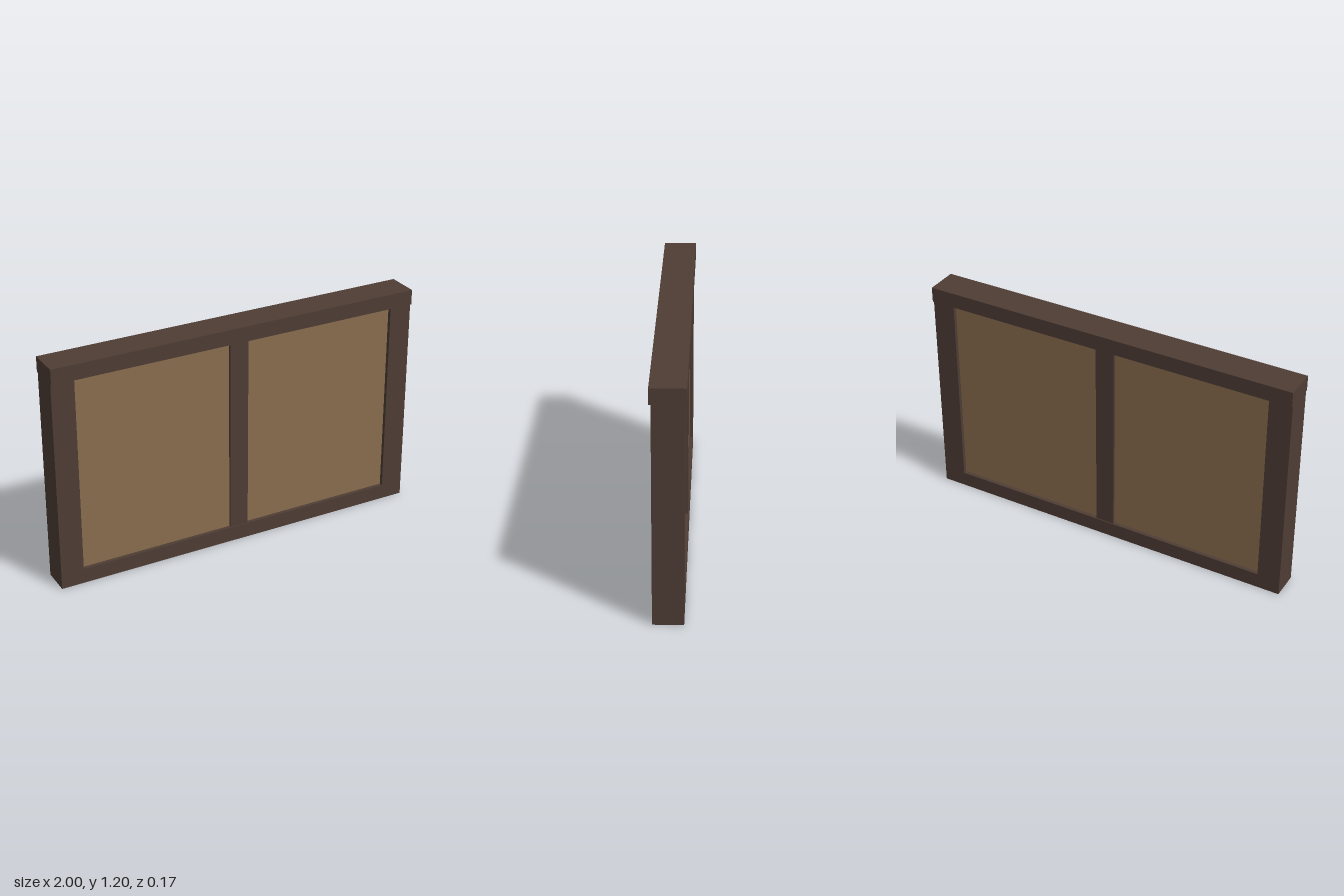
import * as THREE from 'three';

export function createModel() {
  const frame = new THREE.MeshStandardMaterial({ color: 0x4e3d35 });
  frame.name = 'dark brown frame';
  const infill = new THREE.MeshStandardMaterial({ color: 0x8a6e4f });
  infill.name = 'tan panel';

  const model = new THREE.Group();
  model.name = 'framedPanel';

  // Box given by its full size and centre, always centred on z = 0
  function box(name, material, width, height, depth, x, y) {
    const mesh = new THREE.Mesh(new THREE.BoxGeometry(width, height, depth), material);
    mesh.name = name;
    mesh.position.set(x, y, 0);
    model.add(mesh);
  }

  // Overhanging cap and bottom rail
  box('topRail', frame, 2, 0.08, 0.17, 0, 1.16);
  box('bottomRail', frame, 1.76, 0.08, 0.15, 0, 0.04);

  // Side posts and recessed panels, mirrored
  for (const [side, s] of [['left', 1], ['right', -1]]) {
    box(side + 'Post', frame, 0.12, 1.12, 0.15, s * 0.94, 0.56);
    box(side + 'Panel', infill, 0.83, 1.04, 0.11, s * 0.465, 0.6);
  }

  // Middle post, set slightly back from the frame
  box('middlePost', frame, 0.1, 1.04, 0.14, 0, 0.6);

  return model;
}
